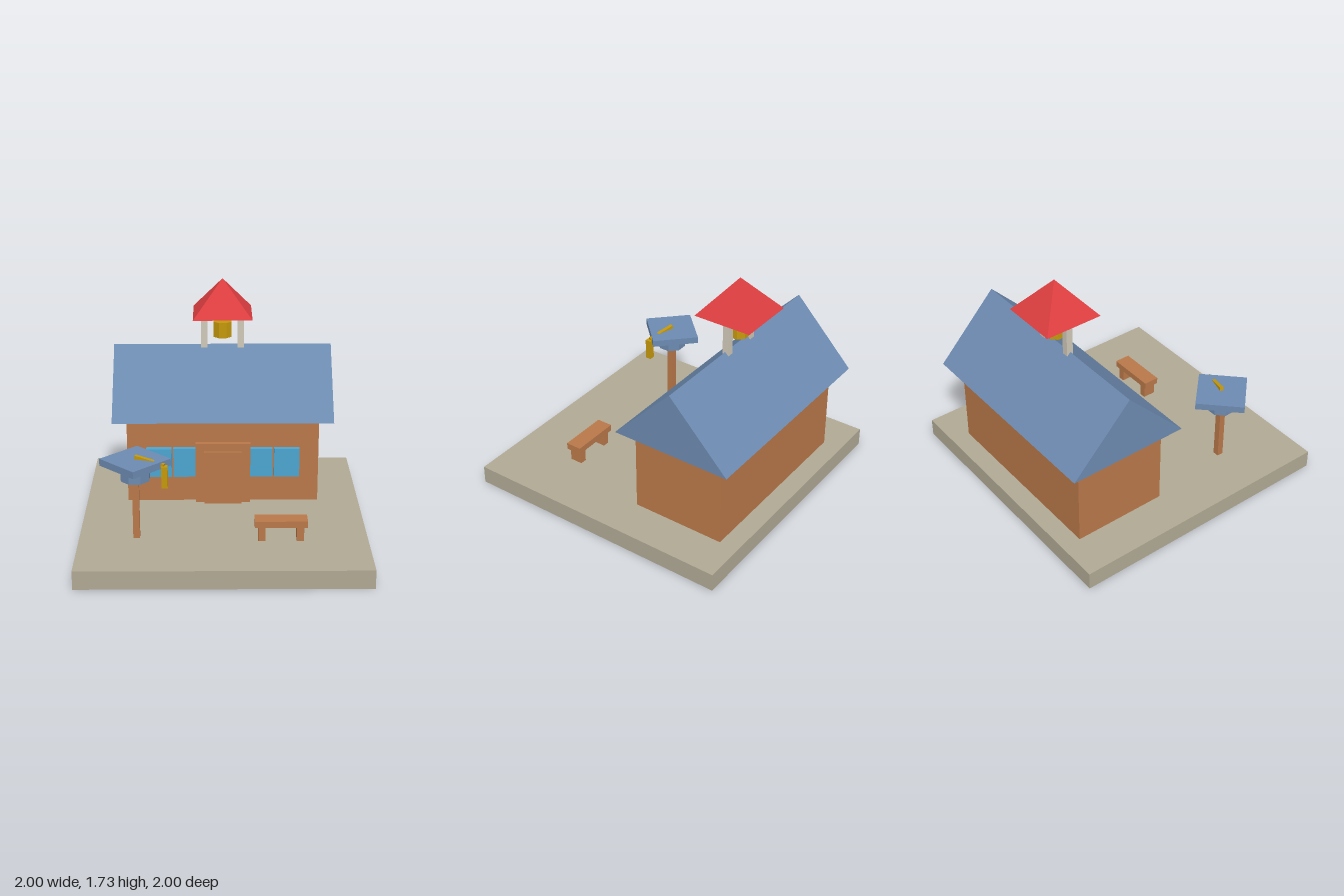
import * as THREE from 'three';

const material = (name, color, extra = {}) => {
  const m = new THREE.MeshStandardMaterial({ color, flatShading: true, ...extra });
  m.name = name;
  return m;
};

export function createModel() {
  const stone = material('stone', 0xb0a894, { side: THREE.DoubleSide });
  const wood = material('wood', 0xb87849);
  const blue = material('roof blue', 0x6c8ab0);
  const red = material('red', 0xdc3e40);
  const glass = material('window blue', 0x4ca4d0);
  const gold = material('gold', 0xc4980c);
  const pale = material('pale post', 0xcfc8b8);

  const model = new THREE.Group();
  model.name = 'schoolhouse';
  const group = (name, x = 0, y = 0, z = 0) => {
    const g = new THREE.Group();
    g.name = name;
    g.position.set(x, y, z);
    model.add(g);
    return g;
  };
  const add = (parent, name, geometry, mat, x, y, z) => {
    const mesh = new THREE.Mesh(geometry, mat);
    mesh.name = name;
    mesh.position.set(x, y, z);
    parent.add(mesh);
    return mesh;
  };
  // Box given by its centre in x and z, and its bottom and top heights
  const box = (parent, name, mat, x, z, w, d, y0, y1) =>
    add(parent, name, new THREE.BoxGeometry(w, y1 - y0, d), mat, x, (y0 + y1) / 2, z);
  // Eight-sided drum with flats facing the axes; r is measured to the flats
  const drum = (r, h) =>
    new THREE.CylinderGeometry(r / Math.cos(Math.PI / 8), r / Math.cos(Math.PI / 8), h, 8).rotateY(Math.PI / 8);

  const GROUND = 0.133;

  // Ground slab: a thin tray open underneath (bottom face left out)
  const slab = new THREE.BoxGeometry(2, GROUND, 2);
  const faces = Array.from(slab.index.array);
  faces.splice(18, 6);
  slab.setIndex(faces);
  slab.clearGroups();
  add(model, 'ground', slab, stone, 0, GROUND / 2, 0);

  // House body, door and windows
  const house = group('house', 0, 0, -0.515);
  box(house, 'walls', wood, 0, 0.003, 1.4, 0.695, GROUND, 0.77);
  box(house, 'doorFrame', wood, 0, 0.365, 0.4, 0.06, GROUND, 0.592);
  box(house, 'door', wood, 0, 0.39, 0.274, 0.06, GROUND, 0.535);
  for (const side of [-1, 1]) {
    for (const x of [0.27, 0.467]) {
      box(house, 'window', glass, side * x, 0.367, 0.185, 0.05, 0.335, 0.552);
    }
  }

  // Gabled roof with the ridge along x
  const gable = new THREE.Shape([
    new THREE.Vector2(-0.446, 0.77),
    new THREE.Vector2(0.446, 0.77),
    new THREE.Vector2(0, 1.235),
  ]);
  const roof = new THREE.ExtrudeGeometry(gable, { depth: 1.6, bevelEnabled: false });
  roof.translate(0, 0, -0.8).rotateY(Math.PI / 2);
  add(house, 'roof', roof, blue, 0, 0, 0);

  // Bell tower
  const tower = group('bellTower', 0, 0, -0.517);
  for (const side of [-1, 1]) {
    box(tower, 'towerPost', pale, side * 0.134, 0, 0.048, 0.048, 1.21, 1.47);
  }
  add(tower, 'bell', drum(0.066, 0.115), gold, 0, 1.353, 0);
  const spire = new THREE.ConeGeometry(0.215 * Math.SQRT2, 0.26, 4).rotateY(Math.PI / 4);
  add(tower, 'towerRoof', spire, red, 0, 1.6, 0);

  // Pedestal with a square top turned by 45 degrees
  const pedestal = group('pedestal', -0.602, 0, 0.467);
  box(pedestal, 'pedestalPost', wood, 0, 0.003, 0.046, 0.046, GROUND, 0.57);
  add(pedestal, 'pedestalDrum', drum(0.097, 0.1), blue, 0, 0.615, 0.003);
  const plate = box(pedestal, 'pedestalTop', blue, 0, 0, 0.344, 0.344, 0.665, 0.715);
  plate.rotation.y = Math.PI / 4;

  // Sloping golden arm with a hanging handle
  const from = new THREE.Vector3(0, 0.728, 0);
  const to = new THREE.Vector3(0.2, 0.687, 0.06);
  const arm = new THREE.Mesh(new THREE.BoxGeometry(0.027, 0.027, from.distanceTo(to)), gold);
  arm.name = 'arm';
  arm.position.copy(from).lerp(to, 0.5);
  arm.rotation.order = 'YXZ';
  arm.rotation.y = Math.atan2(to.x - from.x, to.z - from.z);
  arm.rotation.x = Math.asin((from.y - to.y) / from.distanceTo(to));
  pedestal.add(arm);
  box(pedestal, 'handle', gold, 0.202, 0.064, 0.043, 0.043, 0.53, 0.685);

  // Bench
  const bench = group('bench', 0.397, 0, 0.498);
  box(bench, 'benchSeat', wood, 0, 0, 0.365, 0.118, 0.235, 0.283);
  for (const side of [-1, 1]) {
    box(bench, 'benchLeg', wood, side * 0.133, 0, 0.05, 0.094, GROUND, 0.235);
  }

  return model;
}
